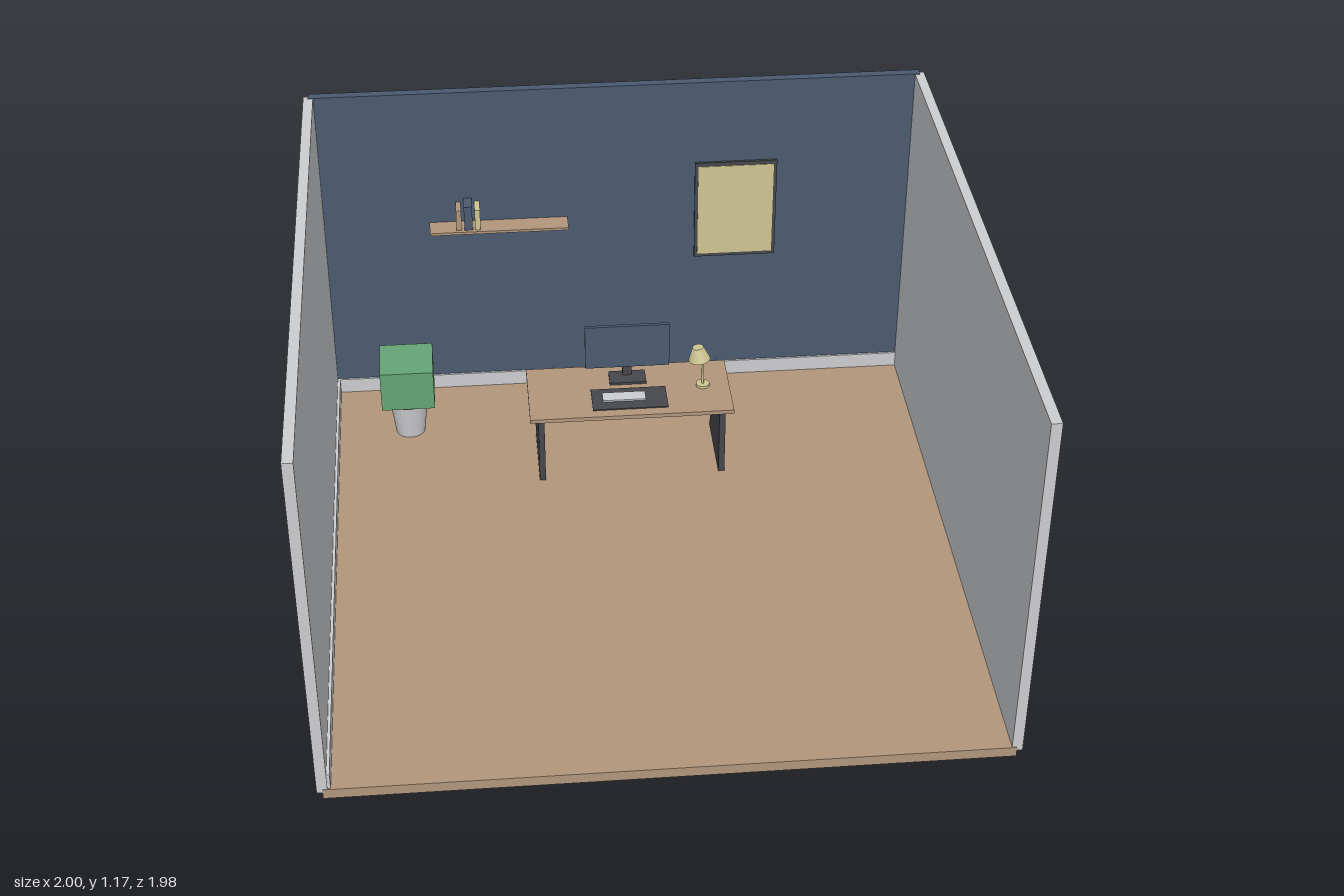
import * as THREE from 'three';

const mat = (name, color) => {
  const m = new THREE.MeshStandardMaterial({ color });
  m.name = name;
  return m;
};

export function createModel() {
  const wood = mat('wood', 0xb2967c);
  const navy = mat('navy', 0x4a5a70);
  const white = mat('off white', 0xcccdcf);
  const dark = mat('charcoal', 0x45474b);
  const green = mat('leaf green', 0x64a574);
  const cream = mat('cream', 0xcfc592);

  const room = new THREE.Group();
  room.name = 'officeRoom';

  const group = (name) => {
    const g = new THREE.Group();
    g.name = name;
    room.add(g);
    return g;
  };
  const add = (parent, name, geometry, material, x, y, z) => {
    const mesh = new THREE.Mesh(geometry, material);
    mesh.name = name;
    mesh.position.set(x, y, z);
    parent.add(mesh);
    return mesh;
  };
  // Box given by its extents on each axis
  const box = (parent, name, material, [x0, x1], [y0, y1], [z0, z1]) =>
    add(parent, name, new THREE.BoxGeometry(x1 - x0, y1 - y0, z1 - z0), material,
      (x0 + x1) / 2, (y0 + y1) / 2, (z0 + z1) / 2);

  // Shell: floor, three walls and skirting
  const shell = group('shell');
  box(shell, 'floor', wood, [-0.983, 0.983], [0, 0.033], [-0.975, 0.99]);
  box(shell, 'backWall', navy, [-0.985, 0.985], [0.02, 1.167], [-0.99, -0.96]);
  box(shell, 'rightWall', white, [-1, -0.969], [0.02, 1.165], [-0.975, 0.988]);
  box(shell, 'leftWall', white, [0.969, 1], [0.02, 1.165], [-0.975, 0.988]);
  box(shell, 'backSkirting', white, [-0.969, 0.969], [0.033, 0.085], [-0.96, -0.953]);
  box(shell, 'sideSkirting', white, [-0.969, -0.96], [0.033, 0.085], [-0.96, 0.985]);

  // Desk with two panel legs
  const desk = group('desk');
  box(desk, 'deskTop', wood, [-0.33, 0.33], [0.272, 0.286], [-0.665, -0.375]);
  for (const side of [-1, 1]) {
    const x = side * 0.294;
    box(desk, 'deskLeg', dark, [x - 0.01, x + 0.01], [0.033, 0.272], [-0.65, -0.39]);
  }

  // Monitor on its stand
  const monitor = group('monitor');
  box(monitor, 'screen', navy, [-0.138, 0.138], [0.335, 0.493], [-0.594, -0.582]);
  box(monitor, 'standNeck', dark, [-0.015, 0.015], [0.29, 0.36], [-0.61, -0.594]);
  box(monitor, 'standBase', dark, [-0.06, 0.06], [0.286, 0.294], [-0.62, -0.55]);

  // Desk mat and keyboard
  box(desk, 'deskMat', dark, [-0.125, 0.12], [0.286, 0.29], [-0.525, -0.41]);
  box(desk, 'keyboard', white, [-0.09, 0.05], [0.29, 0.296], [-0.495, -0.45]);

  // Lamp: round base, thin stem and a slightly tilted shade
  const lamp = group('lamp');
  add(lamp, 'lampBase', new THREE.CylinderGeometry(0.022, 0.022, 0.009, 24), cream, 0.243, 0.2905, -0.525);
  add(lamp, 'lampStem', new THREE.CylinderGeometry(0.004, 0.004, 0.11, 10), cream, 0.243, 0.345, -0.525);
  const shade = add(lamp, 'lampShade',
    new THREE.CylinderGeometry(0.018, 0.036, 0.046, 24), cream, 0.228, 0.414, -0.525);
  shade.rotation.z = 0.12;

  // Wall shelf with three books
  const shelf = group('shelf');
  box(shelf, 'shelfBoard', wood, [-0.623, -0.167], [0.682, 0.691], [-0.96, -0.888]);
  [
    [wood, -0.535, -0.518, 0.765],
    [navy, -0.509, -0.482, 0.778],
    [cream, -0.474, -0.456, 0.765],
  ].forEach(([material, x0, x1, top]) =>
    box(shelf, 'book', material, [x0, x1], [0.691, top], [-0.96, -0.9]));

  // Framed picture
  const picture = group('picture');
  box(picture, 'frame', dark, [0.256, 0.528], [0.517, 0.875], [-0.96, -0.952]);
  box(picture, 'canvas', cream, [0.267, 0.517], [0.529, 0.862], [-0.952, -0.95]);

  // Potted plant with a cubic crown
  const plant = group('plant');
  add(plant, 'pot', new THREE.CylinderGeometry(0.066, 0.048, 0.142, 32), white, -0.723, 0.104, -0.715);
  add(plant, 'potRim', new THREE.CylinderGeometry(0.071, 0.069, 0.016, 32), white, -0.723, 0.168, -0.715);
  box(plant, 'foliage', green, [-0.811, -0.636], [0.176, 0.318], [-0.803, -0.627]);

  return room;
}
